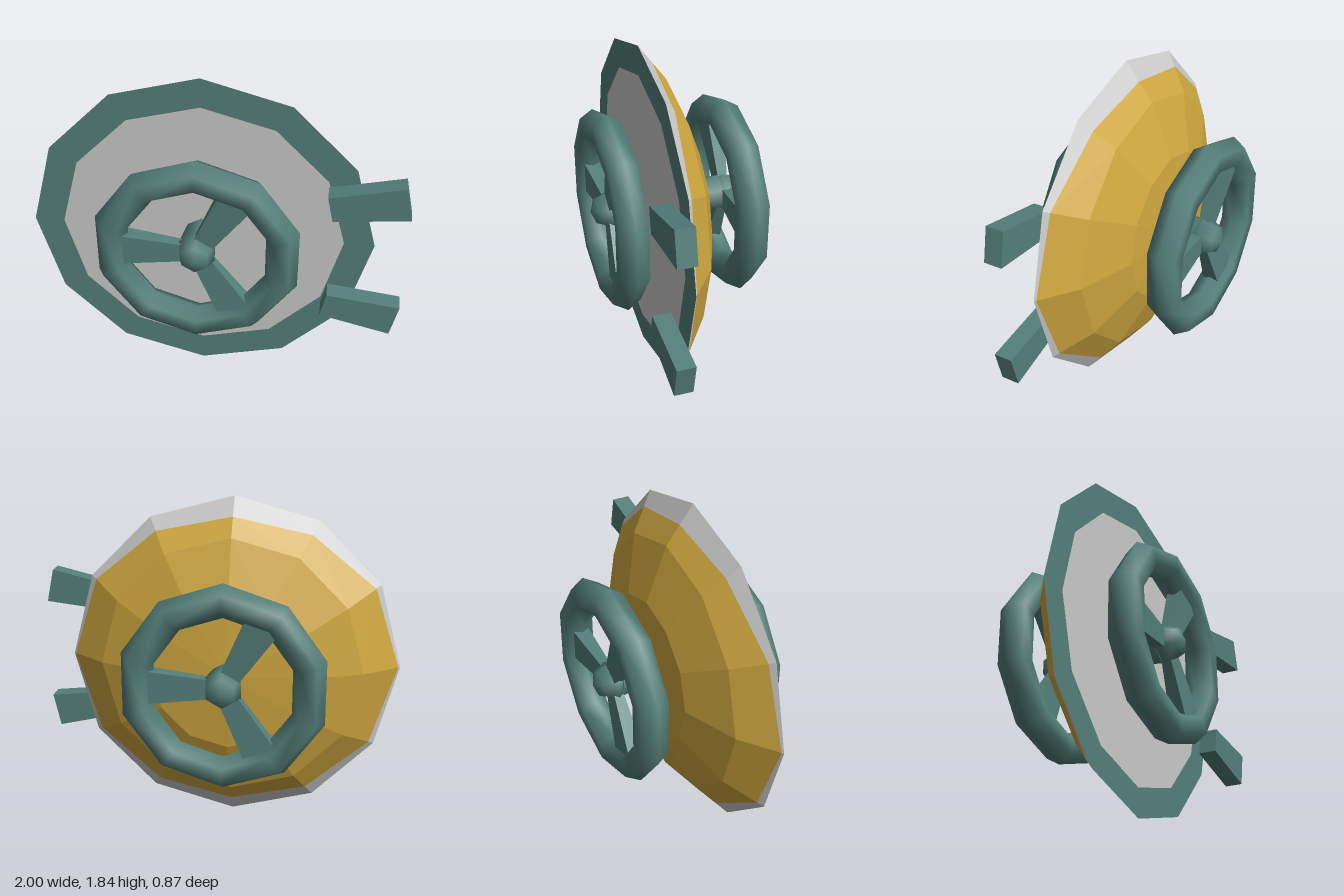
import * as THREE from 'three';

const CX = -0.08, CY = 0.923, SIDES = 12;
const paint = (color, flatShading = false) => new THREE.MeshStandardMaterial({ color, flatShading });
const green = paint(0x55807a);
const greenFlat = paint(0x55807a, true);
const gold = paint(0xd0a83f, true);
const grey = paint(0xcccccc, true);

function part(name, geometry, material, parent) {
  const mesh = new THREE.Mesh(geometry, material);
  mesh.name = name;
  parent.add(mesh);
  return mesh;
}

// Facets joining successive rings; each ring maps an angle to a [radius, z] pair
function ringShell(rings) {
  const pos = [], index = [];
  for (const ring of rings) {
    for (let i = 0; i < SIDES; i++) {
      const a = (i / SIDES) * Math.PI * 2;
      const [r, z] = ring(a);
      pos.push(r * Math.cos(a), r * Math.sin(a), z);
    }
  }
  for (let k = 0; k < rings.length - 1; k++) {
    for (let i = 0; i < SIDES; i++) {
      const a = k * SIDES + i, b = k * SIDES + (i + 1) % SIDES;
      index.push(a, a + SIDES, b + SIDES, a, b + SIDES, b);
    }
  }
  const g = new THREE.BufferGeometry();
  g.setAttribute('position', new THREE.Float32BufferAttribute(pos, 3));
  g.setIndex(index);
  g.computeVertexNormals();
  return g;
}

// Hand wheel with rim, three flared spokes, hub and axle, facing +z
function handWheel(name) {
  const wheel = new THREE.Group();
  wheel.name = name;
  const rim = part('wheelRim', new THREE.TorusGeometry(0.47, 0.09, 6, 10), green, wheel);
  rim.rotation.z = Math.PI / 2;
  rim.position.z = 0.325;

  const hub = part('wheelHub', new THREE.SphereGeometry(0.11, 6, 4), green, wheel);
  hub.geometry.rotateX(Math.PI / 2).rotateZ(Math.PI / 2);
  hub.position.z = 0.325;

  for (let i = 0; i < 3; i++) {
    const spoke = new THREE.CylinderGeometry(0.09 * Math.SQRT2, 0.052 * Math.SQRT2, 0.34, 4);
    spoke.rotateY(Math.PI / 4).scale(1, 1, 0.5).translate(0, 0.23, 0);
    const mesh = part('wheelSpoke', spoke, greenFlat, wheel);
    mesh.rotation.z = Math.PI / 2 + (i * Math.PI * 2) / 3;
    mesh.position.z = 0.325;
  }

  const axle = new THREE.CylinderGeometry(0.105, 0.08, 0.2, 6).rotateX(Math.PI / 2);
  part('wheelAxle', axle, green, wheel).position.z = 0.2;
  return wheel;
}

export function createModel() {
  const model = new THREE.Group();
  model.name = 'vaultDoor';
  const door = new THREE.Group();
  door.name = 'door';
  door.position.set(CX, CY, 0);
  model.add(door);

  // Domed back: the grey edge is wider at top and bottom than at the sides
  const rim = () => [0.921, 0.15];
  const colourLine = (a) => {
    const t = 0.05 + 0.45 * Math.sin(a) ** 2;
    return [0.921 - 0.2 * t, 0.15 - 0.15 * t];
  };
  part('domeEdge', ringShell([rim, colourLine]), grey, door);
  part('dome', ringShell([colourLine, () => [0.721, 0], () => [0.42, -0.115], () => [0.001, -0.152]]), gold, door);

  // Flat front: green border around a grey panel
  part('frontBorder', new THREE.RingGeometry(0.76, 0.921, SIDES), green, door).position.z = 0.15;
  part('frontPanel', new THREE.CircleGeometry(0.76, SIDES), grey, door).position.z = 0.15;

  // A wheel on each side
  door.add(handWheel('frontWheel'));
  const back = handWheel('backWheel');
  back.rotation.y = Math.PI;
  door.add(back);

  // Two flared hinge arms, mirrored about the door's middle
  for (const s of [1, -1]) {
    const corners = [[0.58, 1.305], [0.61, 1.165], [1.0, 1.21], [0.96, 1.395]];
    const shape = new THREE.Shape(corners.map(([x, y]) => new THREE.Vector2(x, CY + s * (y - CY))));
    const arm = new THREE.ExtrudeGeometry(shape, { depth: 0.1, bevelEnabled: false });
    part(s > 0 ? 'upperHingeArm' : 'lowerHingeArm', arm, greenFlat, model).position.z = 0.2;
  }
  return model;
}
